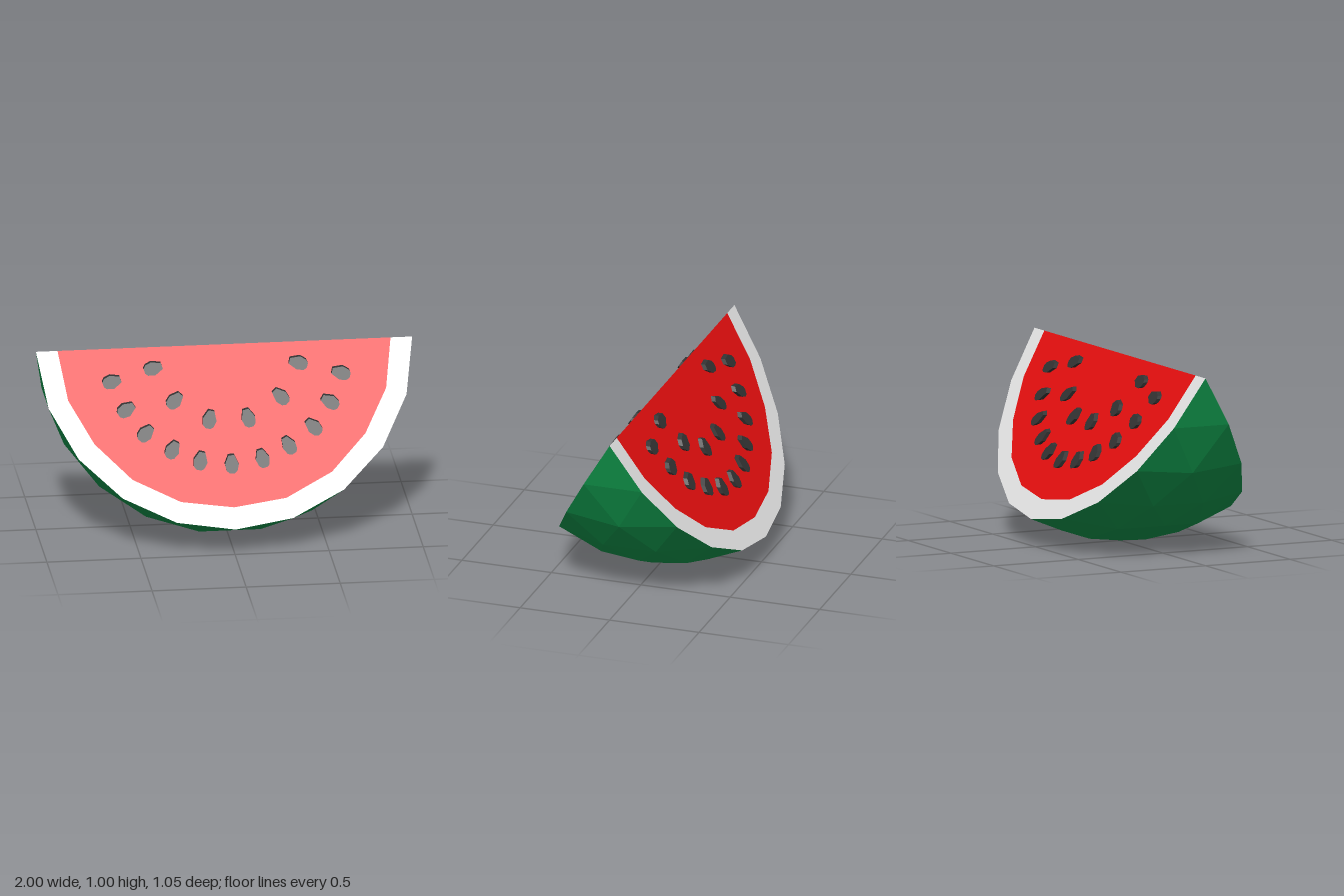
import * as THREE from 'three';

const PHI = (1 + Math.sqrt(5)) / 2;
const SLOPE = Math.atan(1 / PHI); // half angle of the wedge

const skinMat = new THREE.MeshStandardMaterial({ name: 'green skin', color: 0x0f9048, flatShading: true });
const rindMat = new THREE.MeshStandardMaterial({ name: 'white rind', color: 0xe8e8e8 });
const fleshMat = new THREE.MeshStandardMaterial({ name: 'red flesh', color: 0xf01010 });
const seedMat = new THREE.MeshStandardMaterial({ name: 'dark seed', color: 0x333333, flatShading: true });

function addMesh(parent, name, geometry, material) {
  const mesh = new THREE.Mesh(geometry, material);
  mesh.name = name;
  parent.add(mesh);
  return mesh;
}

// Faceted ball, keeping only the facets that lie between the two cut planes
function skinGeometry() {
  const ball = new THREE.IcosahedronGeometry(1, 3).getAttribute('position');
  const kept = [];
  const corners = [new THREE.Vector3(), new THREE.Vector3(), new THREE.Vector3()];
  for (let i = 0; i < ball.count; i += 3) {
    corners.forEach((c, k) => c.fromBufferAttribute(ball, i + k));
    const y = corners[0].y + corners[1].y + corners[2].y;
    const z = corners[0].z + corners[1].z + corners[2].z;
    if (y < -PHI * Math.abs(z)) corners.forEach((c) => kept.push(c.x, c.y, c.z));
  }
  const geometry = new THREE.BufferGeometry();
  geometry.setAttribute('position', new THREE.Float32BufferAttribute(kept, 3));
  geometry.computeVertexNormals();
  return geometry;
}

// One cut side: rind band, flesh and seeds, drawn flat below the ridge
function cutFace() {
  const face = new THREE.Group();

  const outer = [];
  for (let i = 0; i <= 10; i++) {
    const a = (i * Math.PI) / 10;
    outer.push(new THREE.Vector2(Math.cos(a), -Math.sin(a)));
  }
  const half = [[0.885, 0], [0.845, -0.27], [0.72, -0.51], [0.53, -0.71], [0.28, -0.84], [0, -0.88]];
  const mirrored = half.slice(0, -1).reverse().map(([x, y]) => [-x, y]);
  const inner = [...half, ...mirrored].map(([x, y]) => new THREE.Vector2(x, y));

  const slab = new THREE.Group();
  slab.name = 'cutSurface';
  slab.rotation.x = -SLOPE;
  addMesh(slab, 'rind', new THREE.ShapeGeometry(new THREE.Shape([...outer, ...inner.slice().reverse()])), rindMat);
  addMesh(slab, 'flesh', new THREE.ShapeGeometry(new THREE.Shape(inner)), fleshMat);
  face.add(slab);

  // Seeds point at the middle of the ridge and stand out horizontally
  const outline = [[-0.016, 0.05], [0.016, 0.05], [0.037, 0.0], [0.027, -0.036],
    [0.012, -0.048], [-0.014, -0.048], [-0.03, -0.034], [-0.037, 0.002]];
  const seedShape = new THREE.Shape(outline.map(([x, y]) => new THREE.Vector2(x, y)));
  const lean = new THREE.Matrix4().makeBasis(
    new THREE.Vector3(1, 0, 0),
    new THREE.Vector3(0, Math.cos(SLOPE), -Math.sin(SLOPE)),
    new THREE.Vector3(0, 0, 1),
  );
  const spots = [[0, 0.455], [0.165, 0.475], [0.31, 0.53], [0.447, 0.61], [0.543, 0.722], [0.61, 0.853],
    [0.103, 0.663], [0.283, 0.755], [0.387, 0.907]];
  const seeds = new THREE.Group();
  seeds.name = 'seeds';
  for (const [x, y] of spots) {
    for (const side of x === 0 ? [1] : [1, -1]) {
      const u = x * side;
      const v = (y - 1) / Math.cos(SLOPE);
      const geometry = new THREE.ExtrudeGeometry(seedShape, { depth: 0.024, bevelEnabled: false });
      geometry.rotateZ(Math.atan2(-v, -u) - Math.PI / 2);
      geometry.translate(u, v, 0);
      geometry.applyMatrix4(lean);
      addMesh(seeds, 'seed', geometry, seedMat);
    }
  }
  face.add(seeds);
  return face;
}

export function createModel() {
  const model = new THREE.Group();
  model.name = 'melonSlice';

  const slice = new THREE.Group();
  slice.name = 'slice';
  slice.position.y = 1;
  model.add(slice);

  addMesh(slice, 'skin', skinGeometry(), skinMat);

  const front = cutFace();
  front.name = 'frontCut';
  const back = cutFace();
  back.name = 'backCut';
  back.rotation.y = Math.PI;
  slice.add(front, back);

  return model;
}
